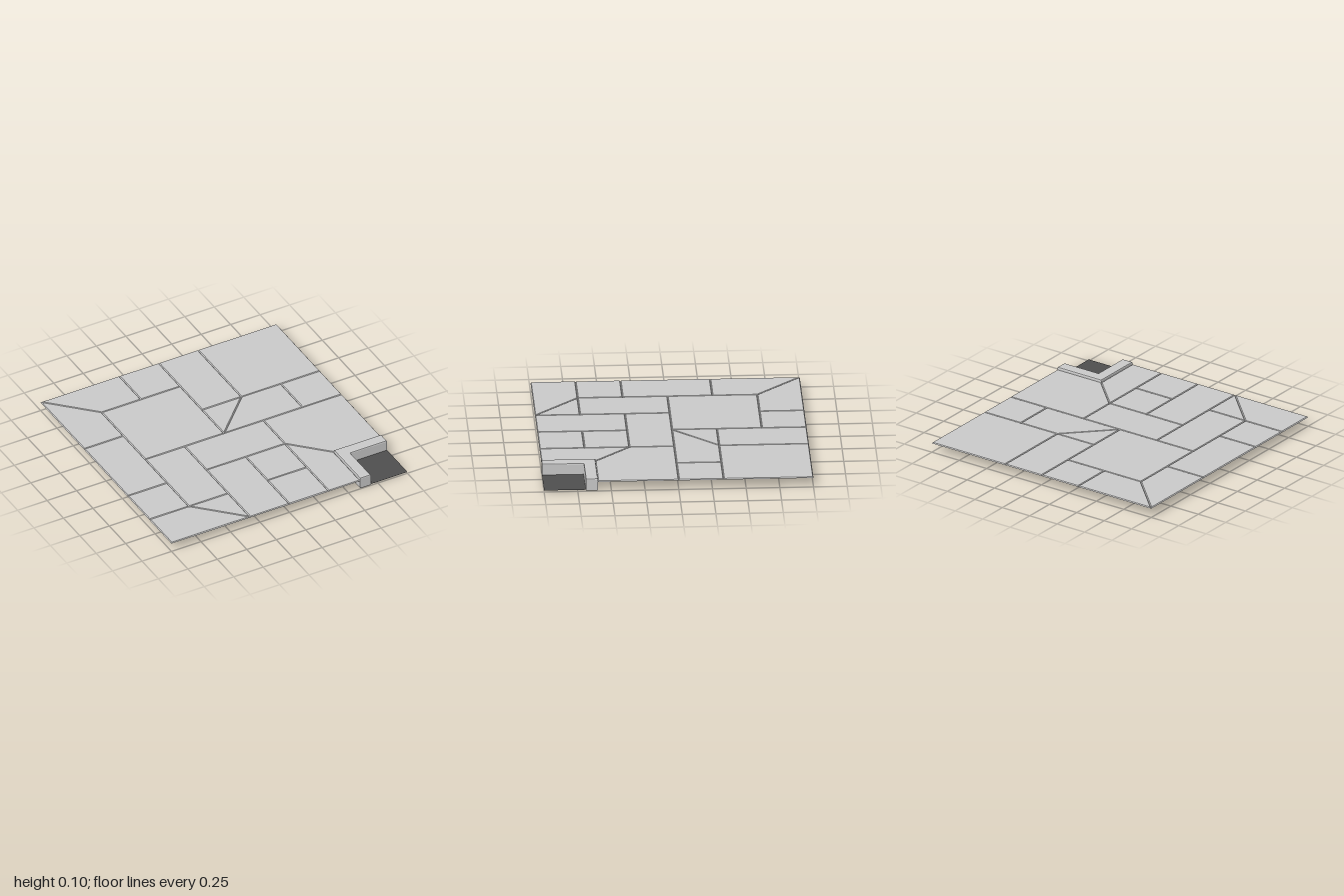
import * as THREE from 'three';

const FLOOR_TOP = 0.08, GROOVE_DEPTH = 0.008, GROOVE_HALF = 0.006;
const CURB_OUT = 0.6, CURB_IN = 0.69, CURB_TOP = 0.1;

const stone = new THREE.MeshStandardMaterial({ color: 0xcccccc, flatShading: true, side: THREE.DoubleSide });
const dark = new THREE.MeshStandardMaterial({ color: 0x4f4f4f, side: THREE.DoubleSide });

const rect = (x0, z0, x1, z1) => [[x0, z0], [x1, z0], [x1, z1], [x0, z1]];

// Paving layout in thirds of a unit, clockwise seen from above
const c = CURB_OUT * 3;
const TILES = [
  [[-3, -3], [-1, -3], [-1, -2], [-2, -2]],
  [[-3, -3], [-2, -2], [-2, -1], [-3, -1]],
  rect(-1, -3, 0, -2),
  rect(-2, -2, 0, 0),
  rect(0, -3, 1, -1),
  rect(1, -3, 3, -1),
  [[0, -1], [1, -1], [0, 0]],
  [[1, -1], [2, -1], [2, 0], [0, 0]],
  rect(2, -1, 3, 0),
  rect(-3, -1, -2, 1),
  rect(-3, 1, -2, 2),
  rect(-2, 0, -1, 2),
  rect(-1, 0, 1, 1),
  rect(-1, 1, 0, 3),
  rect(0, 1, 1, 2),
  rect(0, 2, 1, 3),
  [[1, 0], [3, 0], [3, c], [c, c], [1, 1]],
  [[1, 1], [c, c], [c, 3], [1, 3]],
  [[-3, 2], [-2, 2], [-1, 3], [-3, 3]],
  [[-2, 2], [-1, 2], [-1, 3]],
];

// Move every edge of a convex clockwise outline inward by d
function inset(points, d) {
  const n = points.length;
  return points.map((p, i) => {
    const a = p.clone().sub(points[(i + n - 1) % n]).normalize();
    const b = points[(i + 1) % n].clone().sub(p).normalize();
    const na = new THREE.Vector2(-a.y, a.x), nb = new THREE.Vector2(-b.y, b.x);
    return na.clone().add(nb).multiplyScalar(d / (1 + na.dot(nb))).add(p);
  });
}

// One paving slab: flat top with edges sloping down into the grooves
function slabGeometry(outline) {
  const outer = outline.map(([x, z]) => new THREE.Vector2(x / 3, z / 3));
  const inner = inset(outer, GROOVE_HALF);
  const n = outer.length, pos = [], index = [];
  inner.forEach(p => pos.push(p.x, FLOOR_TOP, p.y));
  outer.forEach(p => pos.push(p.x, FLOOR_TOP - GROOVE_DEPTH, p.y));
  for (let i = 1; i < n - 1; i++) index.push(0, i + 1, i);
  for (let i = 0; i < n; i++) {
    const j = (i + 1) % n;
    index.push(i, j, n + j, i, n + j, n + i);
  }
  const g = new THREE.BufferGeometry();
  g.setAttribute('position', new THREE.Float32BufferAttribute(pos, 3));
  g.setIndex(index);
  const flat = g.toNonIndexed();
  flat.computeVertexNormals();
  return flat;
}

export function createModel() {
  const model = new THREE.Group();
  model.name = 'pavedFloorWithCornerBasin';

  const floor = new THREE.Group();
  floor.name = 'floor';
  TILES.forEach((outline, i) => {
    const slab = new THREE.Mesh(slabGeometry(outline), stone);
    slab.name = `slab${i + 1}`;
    floor.add(slab);
  });
  model.add(floor);

  // L-shaped curb with bevelled edges around the corner basin
  const b = 0.01;
  const shape = new THREE.Shape([
    [CURB_OUT, CURB_OUT], [1, CURB_OUT], [1, CURB_IN],
    [CURB_IN, CURB_IN], [CURB_IN, 1], [CURB_OUT, 1],
  ].map(([x, z]) => new THREE.Vector2(x, z)));
  const curbGeometry = new THREE.ExtrudeGeometry(shape, {
    depth: CURB_TOP - 2 * b, bevelEnabled: true, bevelThickness: b,
    bevelSize: b, bevelOffset: -b, bevelSegments: 2,
  });
  curbGeometry.rotateX(Math.PI / 2).translate(0, CURB_TOP - b, 0);
  const curb = new THREE.Mesh(curbGeometry, stone);
  curb.name = 'curb';
  model.add(curb);

  // Dark basin bottom
  const size = 1 - CURB_IN;
  const basin = new THREE.Mesh(new THREE.PlaneGeometry(size, size).rotateX(-Math.PI / 2), dark);
  basin.position.set(1 - size / 2, 0.012, 1 - size / 2);
  basin.name = 'basinBottom';
  model.add(basin);

  return model;
}
